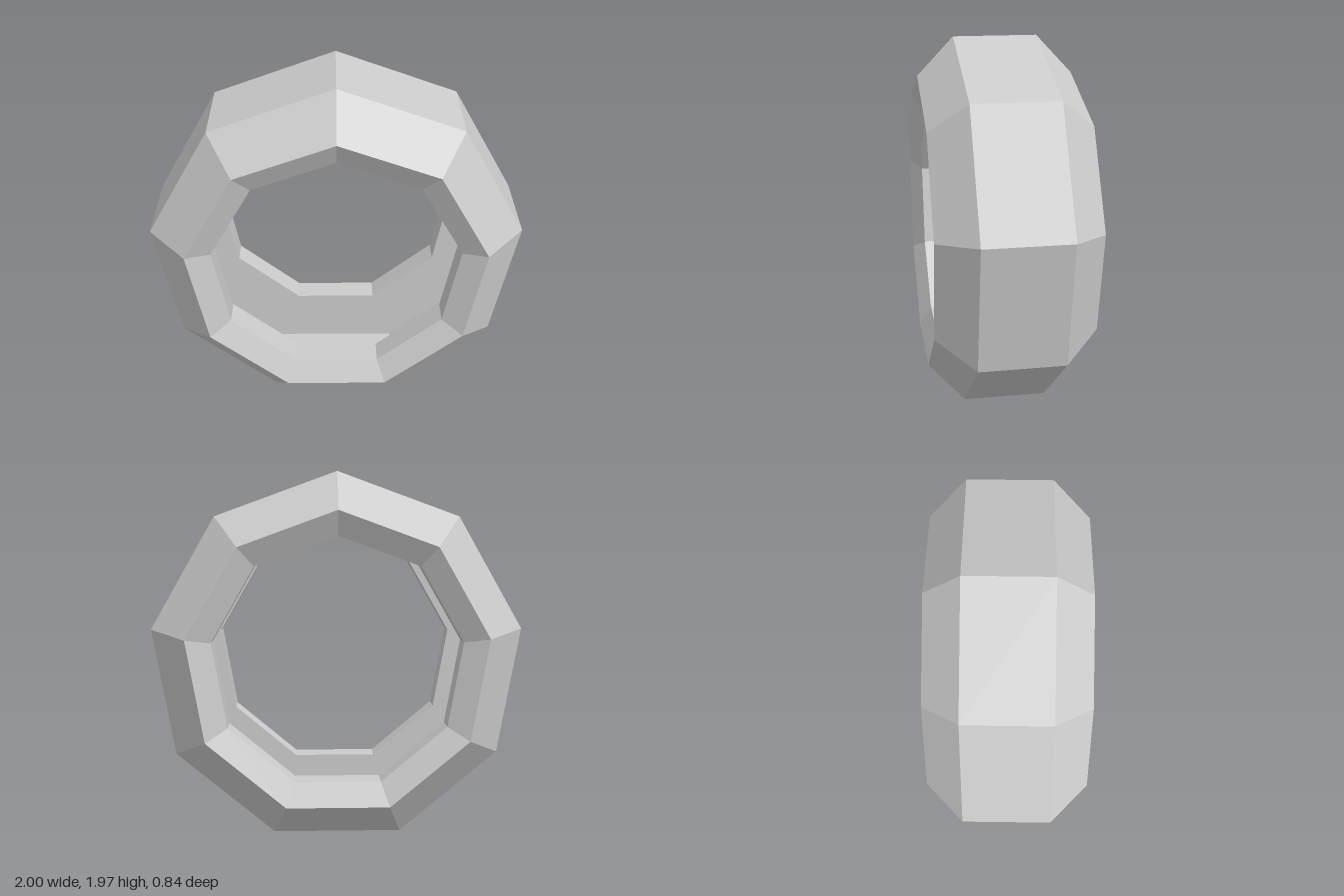
import * as THREE from 'three';

const SIDES = 9;
const R = 1.0154; // corner radius of the outer band
const CENTRE_Y = R * Math.cos(Math.PI / SIDES);

// Turns a (radius, depth) profile into a nine-sided ring with its axis along z
// and one corner pointing straight up.
function ring(name, profile, material) {
  const points = profile.map(([r, d]) => new THREE.Vector2(r, d));
  const geometry = new THREE.LatheGeometry(points, SIDES);
  geometry.rotateX(Math.PI / 2).rotateZ(Math.PI);
  const mesh = new THREE.Mesh(geometry, material);
  mesh.name = name;
  return mesh;
}

export function createModel() {
  const group = new THREE.Group();
  group.name = 'ring';
  const material = new THREE.MeshStandardMaterial({
    color: 0xcccccc,
    flatShading: true,
    side: THREE.DoubleSide,
  });

  // Thin outer band, hollow on the inside
  const band = ring('outerBand', [[R, -0.225], [R, 0.225]], material);

  // Side wall: outer bevel, inner bevel, lip, and flat wall facing the hollow
  const wall = [[R, 0.225], [0.81, 0.42], [0.678, 0.355], [0.678, 0.225], [R, 0.225]];
  const frontWall = ring('frontSideWall', wall, material);
  const backWall = ring('backSideWall', wall, material);
  backWall.rotation.y = Math.PI;

  group.add(band, frontWall, backWall);
  for (const part of group.children) part.position.y = CENTRE_Y;
  return group;
}
